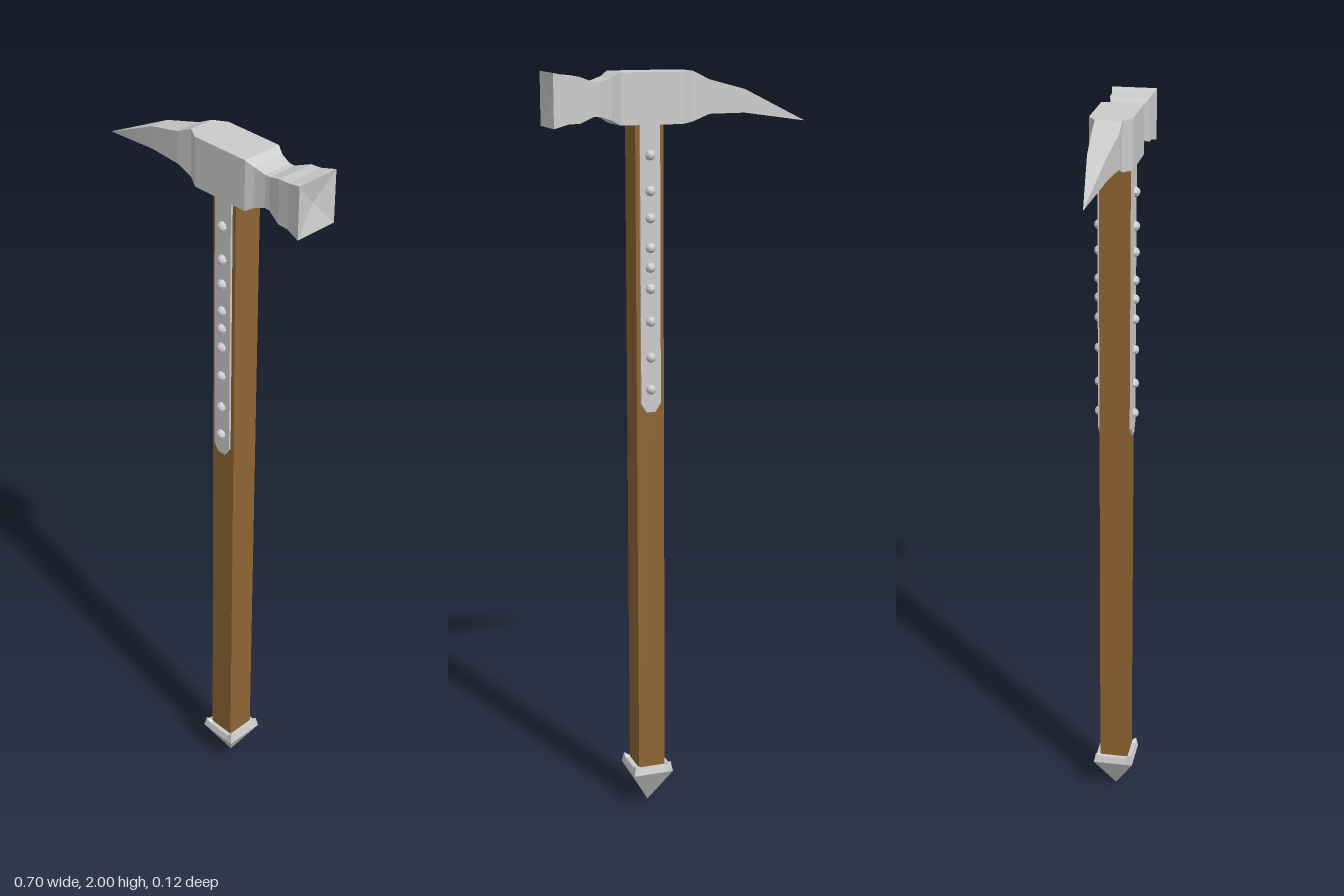
import * as THREE from 'three';

const metal = new THREE.MeshStandardMaterial({ color: 0xcccccc, flatShading: true });
const wood = new THREE.MeshStandardMaterial({ color: 0x8e6431, flatShading: true });
const SHAFT_X = 0.095;

function part(parent, name, geometry, material, x = 0, y = 0, z = 0) {
  const mesh = new THREE.Mesh(geometry, material);
  mesh.name = name;
  mesh.position.set(x, y, z);
  parent.add(mesh);
  return mesh;
}

// Joins cross-sections (each counter-clockwise seen from the far end) into a skin.
function loft(rings) {
  const n = rings[0].length;
  const index = [];
  for (let r = 0; r < rings.length - 1; r++) {
    for (let i = 0; i < n; i++) {
      const a = r * n + i, b = r * n + (i + 1) % n;
      index.push(a, b, b + n, a, b + n, a + n);
    }
  }
  const geometry = new THREE.BufferGeometry();
  geometry.setAttribute('position', new THREE.Float32BufferAttribute(rings.flat(2), 3));
  geometry.setIndex(index);
  geometry.computeVertexNormals();
  return geometry;
}

// Rectangular section of the head across x
const section = (x, low, high, w) => [[x, low, w], [x, low, -w], [x, high, -w], [x, high, w]];

// Square section of the end cap, with corners raised by lift
function square(half, y, lift = 0) {
  const ring = [];
  const inner = Math.min(0.037, half * 0.9);
  for (let k = 0; k < 4; k++) {
    const c = Math.round(Math.cos(k * Math.PI / 2)), s = Math.round(Math.sin(k * Math.PI / 2));
    for (const t of [-inner, inner, half]) {
      ring.push([half * c - t * s, y + (t === half ? lift : 0), -(half * s + t * c)]);
    }
  }
  return ring;
}

export function createModel() {
  const model = new THREE.Group();
  model.name = 'warHammer';

  // Head: pick on the left of the front, flared hammer face on the right
  part(model, 'head', loft([
    section(-0.35, 1.864, 1.864, 0),
    section(-0.17, 1.89, 1.95, 0.025),
    section(-0.07, 1.89, 1.976, 0.034),
    section(-0.025, 1.872, 1.998, 0.034),
    section(0.01, 1.868, 1.998, 0.055),
    section(0.175, 1.868, 1.998, 0.055),
    section(0.195, 1.88, 1.985, 0.046),
    section(0.225, 1.89, 1.975, 0.04),
    section(0.24, 1.89, 1.975, 0.04),
    section(0.28, 1.875, 1.989, 0.052),
    section(0.31, 1.874, 1.991, 0.053),
    section(0.35, 1.864, 2.0, 0.06),
    section(0.337, 1.932, 1.932, 0), // hollow centre of the striking face
  ]), metal);

  // Shaft
  part(model, 'shaft', new THREE.BoxGeometry(0.075, 1.78, 0.08), wood, SHAFT_X, 0.99, 0);

  // Pointed cap at the foot, its rim rising at the corners
  part(model, 'footSpike', loft([
    square(0, 0), square(0.056, 0.1), square(0.051, 0.118, 0.01), square(0.036, 0.118),
  ]), metal, SHAFT_X);

  // Riveted straps on the front and back
  const outline = new THREE.Shape([
    [-0.027, 1.88], [-0.027, 1.148], [-0.012, 1.125], [0.012, 1.125], [0.027, 1.148], [0.027, 1.88],
  ].map(([x, y]) => new THREE.Vector2(x, y)));
  const strapGeometry = new THREE.ExtrudeGeometry(outline, { depth: 0.009, bevelEnabled: false });
  const rivetGeometry = new THREE.SphereGeometry(0.014, 8, 3, 0, Math.PI * 2, 0, Math.PI / 2);
  rivetGeometry.rotateX(Math.PI / 2);
  const rivetHeights = [1.792, 1.702, 1.633, 1.557, 1.506, 1.451, 1.366, 1.271, 1.186];
  for (const [side, turn] of [['front', 0], ['back', Math.PI]]) {
    const strap = new THREE.Group();
    strap.name = side + 'Strap';
    strap.position.x = SHAFT_X;
    strap.rotation.y = turn;
    part(strap, 'strapPlate', strapGeometry, metal, 0, 0, 0.037);
    for (const y of rivetHeights) part(strap, 'rivet', rivetGeometry, metal, 0, y, 0.046);
    model.add(strap);
  }
  return model;
}
